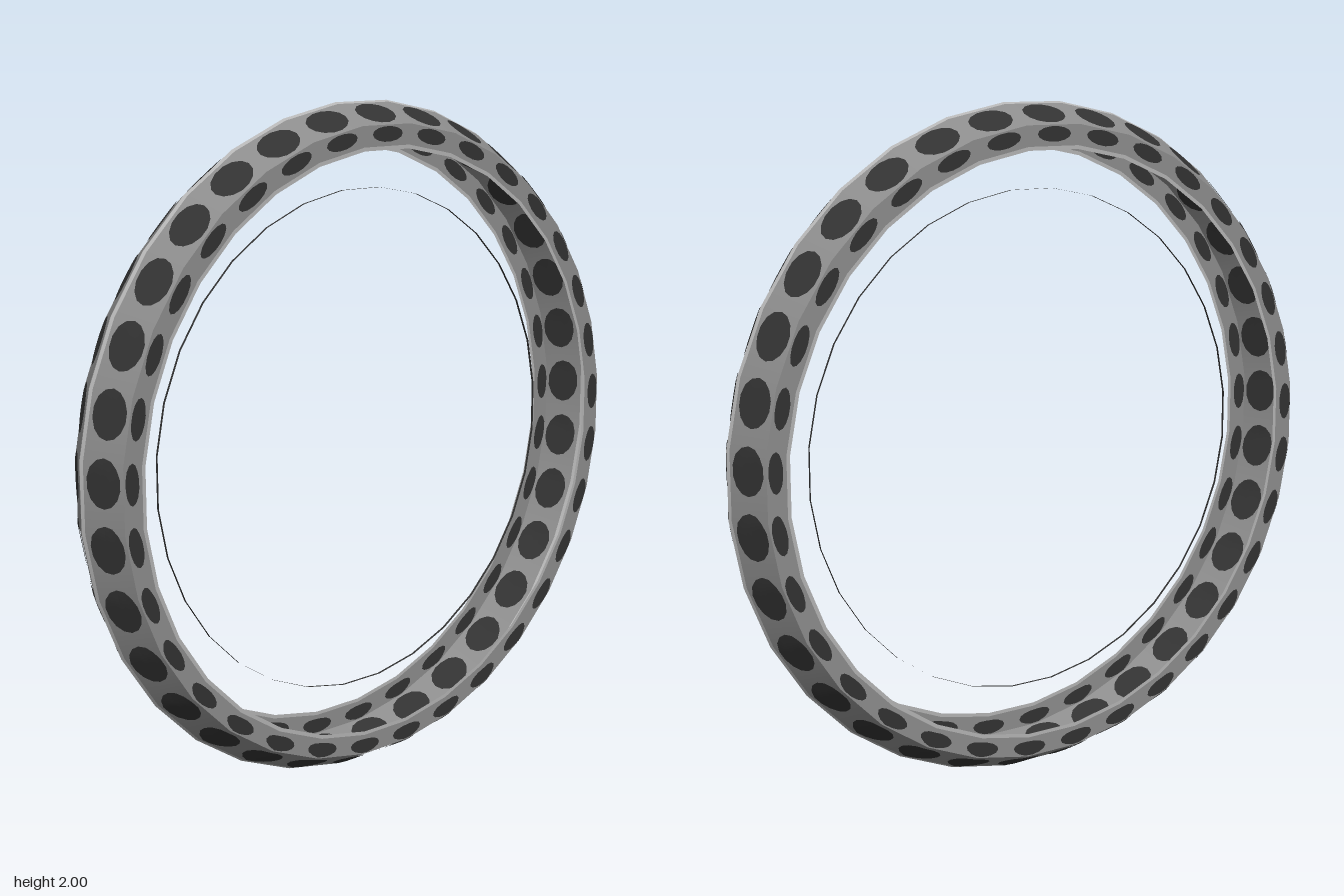
import * as THREE from 'three';

const SIDES = 32;       // facets around the tyre
const SPOTS = 33;       // oval spots per row
const STEP = (Math.PI * 2) / SIDES;

const mat = (name, color) =>
  new THREE.MeshStandardMaterial({ name, color, side: THREE.DoubleSide });

// Band swept round the z axis; points are [radius to facet middle, z]
function band(name, points, material) {
  const profile = points.map(([r, z]) => new THREE.Vector2(r / Math.cos(STEP / 2), z));
  const geo = new THREE.LatheGeometry(profile, SIDES, STEP / 2);
  geo.rotateX(Math.PI / 2);
  const mesh = new THREE.Mesh(geo, material);
  mesh.name = name;
  return mesh;
}

// Oval plate lying on the faceted strip between two profile points
function spot(angle, a, b, centre, halfT, halfWidth, lift, material) {
  const geo = new THREE.RingGeometry(0.001, 1, 14, 3);
  const pos = geo.attributes.position;
  const len = Math.hypot(b[0] - a[0], b[1] - a[1]);
  const nr = Math.abs(b[1] - a[1]) / len;
  const nz = (Math.sign(b[1]) * Math.abs(b[0] - a[0])) / len;
  const midR = a[0] + (b[0] - a[0]) * centre;
  for (let i = 0; i < pos.count; i++) {
    const t = centre + pos.getY(i) * halfT;
    const phi = angle + (pos.getX(i) * halfWidth) / midR;
    const r = a[0] + (b[0] - a[0]) * t + nr * lift;
    const z = a[1] + (b[1] - a[1]) * t + nz * lift;
    const facet = r / Math.cos(phi - Math.round(phi / STEP) * STEP);
    pos.setXYZ(i, facet * Math.sin(phi), facet * Math.cos(phi), z);
  }
  geo.computeVertexNormals();
  const mesh = new THREE.Mesh(geo, material);
  mesh.name = 'spot';
  return mesh;
}

export function createModel() {
  const grey = mat('tyre grey', 0x8c8c8c);
  const dark = mat('spot charcoal', 0x323232);
  const light = mat('edge light grey', 0xb4b4b4);

  const model = new THREE.Group();
  model.name = 'hollowTyre';
  const ring = new THREE.Group();
  ring.name = 'ring';
  ring.position.y = 1;
  model.add(ring);

  for (const s of [1, -1]) {
    const ridge = [1, 0], rim = [0.938, s * 0.11], inner = [0.878, s * 0.11];
    const stripe = [0.995, s * 0.009];

    // Sloping tread, side wall and pale edges; open towards the centre
    ring.add(band('ridgeStripe', [ridge, stripe], light));
    ring.add(band('tread', [stripe, rim], grey));
    ring.add(band('sideWall', [rim, inner], grey));
    ring.add(band('innerLip', [inner, [0.867, s * 0.11]], light));

    // Rows of spots, outside and inside the shell
    const rows = new THREE.Group();
    rows.name = 'spots';
    for (let i = 0; i < SPOTS; i++) {
      const angle = (i * Math.PI * 2) / SPOTS;
      for (const lift of [0.003, -0.003]) {
        rows.add(spot(angle, ridge, rim, 0.55, 0.39, 0.069, lift, dark));
        rows.add(spot(angle, rim, inner, 0.43, 0.37, 0.058, lift, dark));
      }
    }
    ring.add(rows);
  }

  // Fine hoop floating inside the tyre
  ring.add(band('innerHoop', [[0.75, -0.004], [0.75, 0.004]], dark));
  return model;
}
